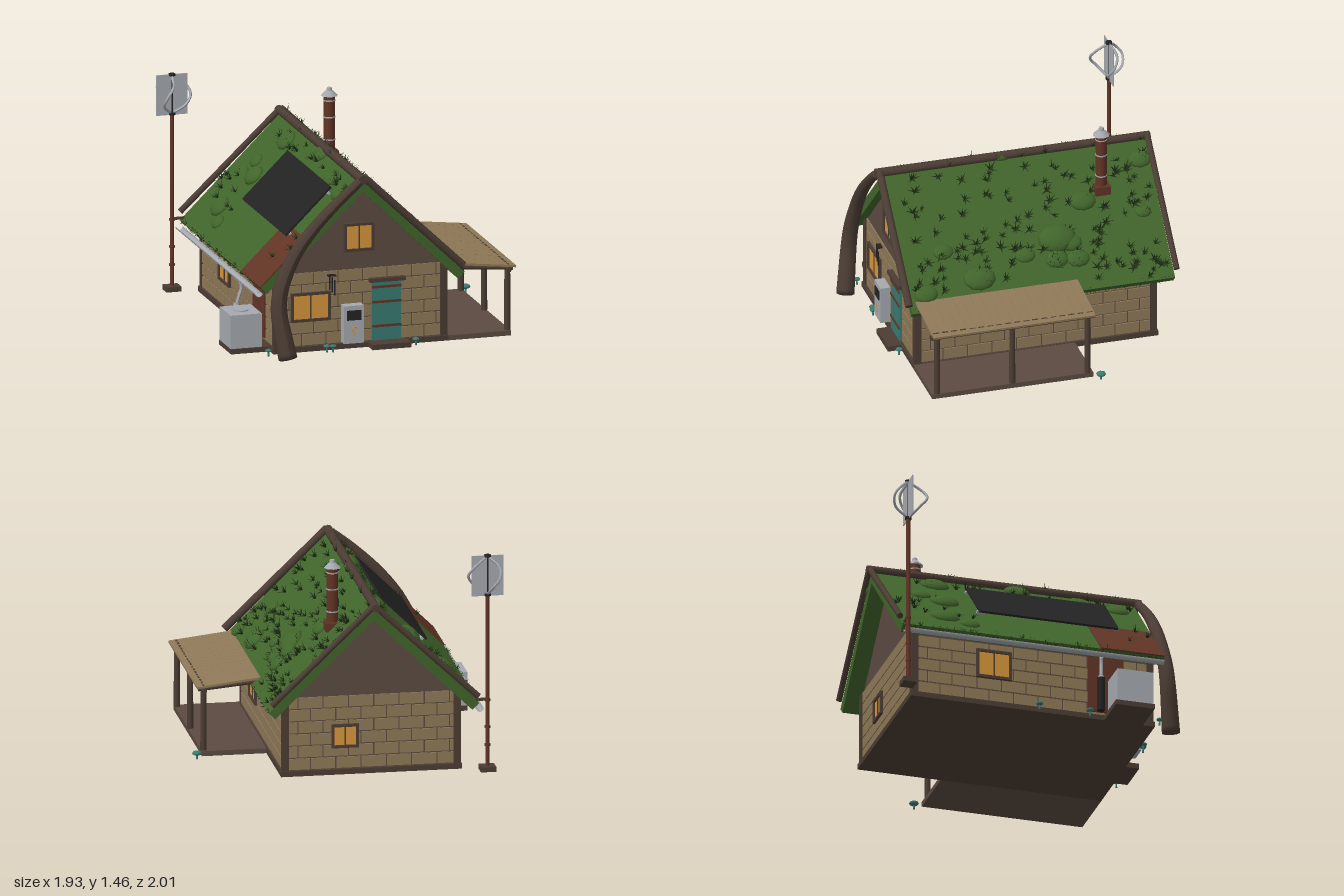
import * as THREE from 'three';
import { mergeGeometries } from 'three/addons/utils/BufferGeometryUtils.js';

const mat = (name, color, side = THREE.FrontSide) => Object.assign(new THREE.MeshStandardMaterial({ color, side }), { name });
const M = {
  stone: mat('tan stone', 0x8f7a58), timber: mat('dark timber', 0x4c3d34), plaster: mat('brown plaster', 0x5c4b41),
  turf: mat('turf green', 0x41652b), grass: mat('grass', 0x1f3215, THREE.DoubleSide), black: mat('black', 0x232324),
  rust: mat('rust', 0x623526), metal: mat('grey metal', 0xa6aab0, THREE.DoubleSide),
  teal: mat('teal', 0x3a7b72), amber: mat('amber glass', 0xd8973b),
};
let seed = 7;
const rnd = (a = 0, b = 1) => { seed = (seed * 16807) % 2147483647; return a + (b - a) * seed / 2147483647; };
const V = (x, y, z) => new THREE.Vector3(x, y, z);

function add(parent, name, geo, material, x = 0, y = 0, z = 0) {
  const m = new THREE.Mesh(geo, material);
  m.name = name;
  m.position.set(x, y, z);
  parent.add(m);
  return m;
}
// box given by its limits on each axis
const box = (p, name, material, x0, x1, y0, y1, z0, z1) =>
  add(p, name, new THREE.BoxGeometry(x1 - x0, y1 - y0, z1 - z0), material, (x0 + x1) / 2, (y0 + y1) / 2, (z0 + z1) / 2);
// round bar between two points
function bar(p, name, material, a, b, r, r2 = r, sides = 10) {
  const m = add(p, name, new THREE.CylinderGeometry(r2, r, a.distanceTo(b), sides), material);
  m.position.copy(a).lerp(b, 0.5);
  m.quaternion.setFromUnitVectors(V(0, 1, 0), b.clone().sub(a).normalize());
  return m;
}
// tube along a curve that widens from r0 to r1, with flat ends
function taperedTube(points, r0, r1, n = 40, sides = 10) {
  const curve = new THREE.CatmullRomCurve3(points);
  const g = new THREE.TubeGeometry(curve, n, 1, sides), pos = g.attributes.position, v = V(0, 0, 0);
  for (let i = 0; i <= n; i++) {
    const c = curve.getPointAt(i / n), end = i === 0 || i === n;
    const to = end ? curve.getPointAt(i === 0 ? 1 / n : 1 - 1 / n) : c;
    for (let j = 0; j <= sides; j++) {
      const k = i * (sides + 1) + j;
      v.fromBufferAttribute(pos, k).sub(c).multiplyScalar(end ? 0 : r0 + (r1 - r0) * i / n).add(to);
      pos.setXYZ(k, v.x, v.y, v.z);
    }
  }
  g.computeVertexNormals();
  return g;
}
// staggered stone courses on a wall facing +z
function courses(width) {
  const geos = [], rowH = 0.0817, len = 0.165, gap = 0.009;
  for (let r = 0; r < 6; r++) {
    for (let x = -width / 2 - (r % 2) * len / 2; x < width / 2; x += len) {
      const a = Math.max(x, -width / 2), b = Math.min(x + len, width / 2);
      if (b - a > 0.02) geos.push(new THREE.BoxGeometry(b - a - gap, rowH - gap, 0.008)
        .translate((a + b) / 2, 0.07 + (r + 0.5) * rowH, 0.004));
    }
  }
  return mergeGeometries(geos);
}
// framed window facing +z, centred on its group
function windowGroup(p, w, h, x, y, z, turn = 0) {
  const g = new THREE.Group();
  g.name = 'window';
  box(g, 'windowGlass', M.amber, -w / 2, w / 2, -h / 2, h / 2, 0, 0.014);
  for (const s of [-1, 1]) {
    box(g, 'windowFrameSide', M.timber, s * w / 2 - 0.009, s * w / 2 + 0.009, -h / 2 - 0.009, h / 2 + 0.009, 0, 0.025);
    box(g, 'windowFrameRail', M.timber, -w / 2, w / 2, s * h / 2 - 0.009, s * h / 2 + 0.009, 0, 0.025);
  }
  box(g, 'windowMullion', M.timber, -0.004, 0.004, -h / 2, h / 2, 0, 0.02);
  g.position.set(x, y, z);
  g.rotation.y = turn;
  p.add(g);
}
// pointed blades fanned around each spot [x, y, z, size]
function tufts(spots, blades) {
  const verts = [];
  for (const [x, y, z, size] of spots) {
    for (let i = 0; i < blades; i++) {
      const a = (i + rnd(-0.3, 0.3)) / blades * Math.PI * 2, lean = rnd(0.35, 1.15), l = size * rnd(0.7, 1.1), w = size * 0.11;
      const dx = Math.cos(a), dz = Math.sin(a), out = l * Math.sin(lean), up = l * Math.cos(lean);
      verts.push(x - dz * w, y, z + dx * w, x + dz * w, y, z - dx * w, x + dx * out, y + up, z + dz * out);
    }
  }
  const g = new THREE.BufferGeometry();
  g.setAttribute('position', new THREE.Float32BufferAttribute(verts, 3));
  g.computeVertexNormals();
  return g;
}

export function createModel() {
  const root = new THREE.Group();
  root.name = 'turfRoofCottage';
  const RX = -0.12, RY = 1.165, PITCH = 0.775, RUN = 0.96, COS = Math.cos(PITCH);

  // Base and walls
  box(root, 'foundation', M.timber, -0.71, 0.47, 0.035, 0.07, -0.83, 0.81);
  box(root, 'porchFloor', M.plaster, 0.47, 0.89, 0.035, 0.068, -0.27, 0.81);
  box(root, 'doorStep', M.timber, -0.07, 0.19, 0.035, 0.07, 0.81, 0.9);
  const outline = new THREE.Shape([[-0.69, 0.07], [0.45, 0.07], [0.45, 0.52], [-0.12, 1.09], [-0.69, 0.52]].map(q => new THREE.Vector2(...q)));
  add(root, 'wallsAndGables', new THREE.ExtrudeGeometry(outline, { depth: 1.59, bevelEnabled: false }), M.plaster, 0, 0, -0.805);
  for (const [w, x, z, turn] of [[1.12, -0.12, 0.785, 0], [1.12, -0.12, -0.805, Math.PI], [1.57, 0.45, -0.01, Math.PI / 2], [1.57, -0.69, -0.01, -Math.PI / 2]])
    add(root, 'stoneCourses', courses(w), M.stone, x, 0, z).rotation.y = turn;
  for (const x of [-0.68, 0.44]) for (const z of [-0.8, 0.78])
    box(root, 'cornerPost', M.timber, x - 0.023, x + 0.023, 0.07, 0.55, z - 0.023, z + 0.023);

  // Windows
  windowGroup(root, 0.185, 0.17, -0.13, 0.77, 0.785);
  windowGroup(root, 0.25, 0.175, -0.455, 0.33, 0.785);
  windowGroup(root, 0.225, 0.18, 0.45, 0.33, 0.28, Math.PI / 2);
  windowGroup(root, 0.16, 0.14, 0.05, 0.29, -0.805, Math.PI);
  windowGroup(root, 0.22, 0.18, -0.69, 0.33, -0.27, -Math.PI / 2);
  box(root, 'wallPatch', M.rust, -0.71, -0.69, 0.09, 0.5, 0.36, 0.6);

  // Door
  box(root, 'door', M.teal, -0.045, 0.15, 0.075, 0.465, 0.785, 0.81);
  box(root, 'doorLintel', M.timber, -0.065, 0.175, 0.465, 0.49, 0.785, 0.83);
  for (const y of [0.17, 0.33, 0.43]) box(root, 'doorStrap', M.rust, -0.045, 0.15, y - 0.008, y + 0.008, 0.81, 0.816);

  // Machine beside the door, and hanging tools
  box(root, 'cabinet', M.metal, -0.25, -0.115, 0.08, 0.33, 0.79, 0.86);
  box(root, 'cabinetScreen', M.black, -0.23, -0.135, 0.235, 0.3, 0.86, 0.866);
  add(root, 'cabinetDial', new THREE.TorusGeometry(0.014, 0.004, 6, 12, 4), M.amber, -0.18, 0.175, 0.862);
  box(root, 'cabinetCable', M.amber, -0.183, -0.177, 0.13, 0.16, 0.86, 0.865);
  box(root, 'toolRail', M.black, -0.345, -0.29, 0.525, 0.535, 0.79, 0.82);
  for (const [i, x] of [-0.335, -0.318, -0.3].entries())
    bar(root, 'hangingTool', M.black, V(x, 0.54 - i * 0.02, 0.82), V(x, 0.44 - i * 0.02, 0.82), 0.005, 0.005, 6);

  // Roof slopes: local x runs down the slope, local y is the roof normal
  const bushes = {
    1: [[-0.02, -0.85, 0.08], [0.14, -0.42, 0.09], [0.3, -0.2, 0.13], [0.33, -0.28, 0.08], [0.41, -0.31, 0.08], [0.4, -0.17, 0.08],
      [0.36, 0.03, 0.07], [0.44, 0.36, 0.11], [0.29, 0.56, 0.07], [0.48, 0.73, 0.08], [0.23, -0.8, 0.055]],
    [-1]: [[-0.64, -0.58, 0.1], [-0.7, -0.43, 0.07], [-0.43, -0.52, 0.1], [-0.37, -0.66, 0.07], [-0.21, -0.52, 0.1],
      [-0.15, 0.05, 0.09], [-0.21, 0.45, 0.09], [-0.24, 0.7, 0.08]],
  };
  for (const s of [1, -1]) {
    const g = new THREE.Group();
    g.name = s > 0 ? 'leftRoofSlope' : 'rightRoofSlope';
    g.position.set(RX, RY, 0);
    g.rotation.z = -s * PITCH;
    root.add(g);
    const onSlope = (name, m, d0, d1, y0, y1, z0, z1) => box(g, name, m, ...(s > 0 ? [d0, d1] : [-d1, -d0]), y0, y1, z0, z1);
    onSlope('turfSlab', M.turf, 0, RUN, -0.06, 0, -0.915, 0.845);
    for (const [x, z, r] of bushes[s])
      add(g, 'mossMound', new THREE.SphereGeometry(1, 10, 8), M.turf, (x - RX) / COS, 0, z).scale.set(r * 0.75, r * 0.38, r);
    const spots = [];
    for (let i = 0; i < 150; i++) {
      const d = rnd(0.06, 0.93), z = rnd(-0.88, 0.8);
      const clear = s > 0 ? !(d > 0.84 && z > -0.3) : (z < -0.36 && d < 0.72 && i % 2) || (z > 0.64 && d > 0.45 && d < 0.8) || d < 0.14;
      if (clear) spots.push([s * d, 0, z, rnd(0.045, 0.07)]);
    }
    add(g, 'grassTufts', tufts(spots, 8), M.grass);
    const fringe = [];
    for (let z = -0.9; z < 0.84; z += 0.018) fringe.push([s * (RUN - 0.005), rnd(-0.05, -0.01), z, rnd(0.03, 0.05)]);
    add(g, 'eaveGrass', tufts(fringe, 6), M.grass);
    if (s < 0) {
      onSlope('solarPanel', M.black, 0.17, 0.6, 0.018, 0.032, -0.325, 0.61);
      for (const z of [-0.31, 0.59]) for (const d of [0.2, 0.56]) onSlope('panelFoot', M.metal, d, d + 0.02, 0, 0.018, z - 0.025, z + 0.03);
      onSlope('rustSheet', M.rust, 0.53, RUN, 0, 0.008, 0.42, 0.845);
    }
  }
  const ridgeSpots = [];
  for (let z = -0.88; z < 0.85; z += 0.16) ridgeSpots.push([RX + rnd(-0.03, 0.03), 1.165, z, 0.055]);
  add(root, 'ridgeGrass', tufts(ridgeSpots, 7), M.grass);

  // Ridge and verge logs
  bar(root, 'ridgeLog', M.timber, V(-0.13, 1.17, -0.95), V(-0.13, 1.17, 0.89), 0.028, 0.031);
  bar(root, 'frontVergeLog', M.timber, V(-0.12, 1.185, 0.865), V(0.55, 0.545, 0.865), 0.026);
  for (const x of [-0.8, 0.55]) bar(root, 'backVergeLog', M.timber, V(RX, 1.185, -0.93), V(x, 0.545, -0.93), 0.02);
  add(root, 'curvedTrunk', taperedTube([V(-0.12, 1.18, 0.87), V(-0.3, 1.03, 0.88), V(-0.47, 0.86, 0.88), V(-0.6, 0.68, 0.88),
    V(-0.685, 0.48, 0.89), V(-0.7, 0.34, 0.9), V(-0.675, 0.17, 0.92), V(-0.645, 0.0, 0.94)], 0.028, 0.062), M.timber);

  // Porch
  for (const z of [-0.235, 0.27, 0.775]) {
    bar(root, 'porchPost', M.timber, V(0.875, 0.068, z), V(0.875, 0.48, z), 0.021, 0.019);
    bar(root, 'porchRafter', M.timber, V(0.47, 0.515, z), V(0.91, 0.475, z), 0.014);
  }
  bar(root, 'porchBeam', M.timber, V(0.875, 0.475, -0.285), V(0.875, 0.475, 0.82), 0.017);
  for (let i = 0; i < 18; i++) {
    const len = 0.43 + rnd(0, 0.014);
    const plank = add(root, 'porchRoofPlank', new THREE.BoxGeometry(len, 0.014, 0.0595), M.stone, 0.925 - len / 2, 0.518, -0.247 + i * 0.0605);
    plank.rotation.z = -0.115;
    box(root, 'plankBatten', M.timber, 0.867, 0.883, 0.495, 0.506, plank.position.z - 0.02, plank.position.z + 0.02);
  }

  // Chimney
  const chimney = new THREE.Group();
  chimney.name = 'chimney';
  chimney.position.set(0.09, 0, -0.56);
  root.add(chimney);
  box(chimney, 'chimneyFoot', M.rust, -0.05, 0.05, 0.925, 0.985, -0.052, 0.052);
  bar(chimney, 'chimneyPipe', M.rust, V(0, 0.93, 0), V(0, 1.345, 0), 0.037, 0.037, 12);
  for (const y of [1.05, 1.2, 1.31]) bar(chimney, 'chimneyBand', M.metal, V(0, y, 0), V(0, y + 0.008, 0), 0.04, 0.04, 12);
  bar(chimney, 'chimneyCap', M.metal, V(0, 1.345, 0), V(0, 1.378, 0), 0.056, 0.022, 8);
  bar(chimney, 'chimneyKnob', M.metal, V(0, 1.378, 0), V(0, 1.398, 0), 0.02, 0.016, 8);

  // Wind turbine on its mast
  const mast = new THREE.Group();
  mast.name = 'windTurbine';
  mast.position.set(-0.865, 0, -0.895);
  root.add(mast);
  box(mast, 'mastFoot', M.timber, -0.05, 0.05, 0.035, 0.068, -0.045, 0.045);
  bar(mast, 'mastPole', M.rust, V(0, 0.06, 0), V(0, 1.21, 0), 0.014);
  for (const y of [0.2, 0.32, 0.5]) bar(mast, 'mastCollar', M.rust, V(0, y, 0), V(0, y + 0.015, 0), 0.019);
  box(mast, 'mastBracket', M.timber, 0, 0.13, 0.505, 0.52, -0.01, 0.01);
  bar(mast, 'turbineShaft', M.black, V(0, 1.2, 0), V(0, 1.48, 0), 0.006);
  for (const y of [1.205, 1.465]) bar(mast, 'turbineHub', M.black, V(0, y, 0), V(0, y + 0.015, 0), 0.022);
  box(mast, 'turbineVane', M.metal, -0.105, 0.105, 1.205, 1.475, -0.003, 0.003);
  for (let k = 0; k < 3; k++) {
    const pts = [0, 0.25, 0.5, 0.75, 1].map(t => V(0.125 * Math.sin(Math.PI * t), 1.215 + 0.255 * t, 0.03 * Math.sin(Math.PI * 2 * t)));
    const blade = add(mast, 'turbineBlade', taperedTube(pts, 0.009, 0.009, 20, 6), M.metal);
    blade.rotation.y = k * Math.PI * 2 / 3;
  }

  // Gutter, downpipe, canister and water tank
  const gutter = add(root, 'gutter', new THREE.CylinderGeometry(0.024, 0.024, 1.74, 10, 1, true, -Math.PI / 2, Math.PI), M.metal, -0.815, 0.455, -0.035);
  gutter.rotation.x = Math.PI / 2;
  add(root, 'downpipe', taperedTube([V(-0.815, 0.44, 0.42), V(-0.805, 0.39, 0.42), V(-0.82, 0.33, 0.415), V(-0.835, 0.27, 0.41)], 0.012, 0.012, 16, 8), M.metal);
  bar(root, 'canister', M.black, V(-0.835, 0.04, 0.41), V(-0.835, 0.27, 0.41), 0.026, 0.026, 12);
  bar(root, 'canisterLid', M.metal, V(-0.835, 0.27, 0.41), V(-0.835, 0.285, 0.41), 0.022, 0.018, 12);
  box(root, 'tankPlinth', M.timber, -0.97, -0.71, 0.035, 0.068, 0.47, 0.73);
  box(root, 'waterTank', M.metal, -0.97, -0.76, 0.068, 0.29, 0.48, 0.72);
  bar(root, 'tankLid', M.metal, V(-0.865, 0.29, 0.6), V(-0.865, 0.297, 0.6), 0.05, 0.05, 12);

  // Mushrooms
  for (const [x, z, r] of [[0.93, -0.31, 0.032], [0.24, 0.84, 0.024], [-0.36, 0.84, 0.024], [-0.32, 0.85, 0.022], [-0.75, 0.83, 0.022], [-0.76, 0.02, 0.024], [-0.76, 0.36, 0.026]]) {
    bar(root, 'mushroomStem', M.teal, V(x, 0.03, z), V(x, 0.066, z), 0.007, 0.005, 6);
    add(root, 'mushroomCap', new THREE.SphereGeometry(r, 10, 6), M.teal, x, 0.07, z).scale.y = 0.5;
  }
  return root;
}
